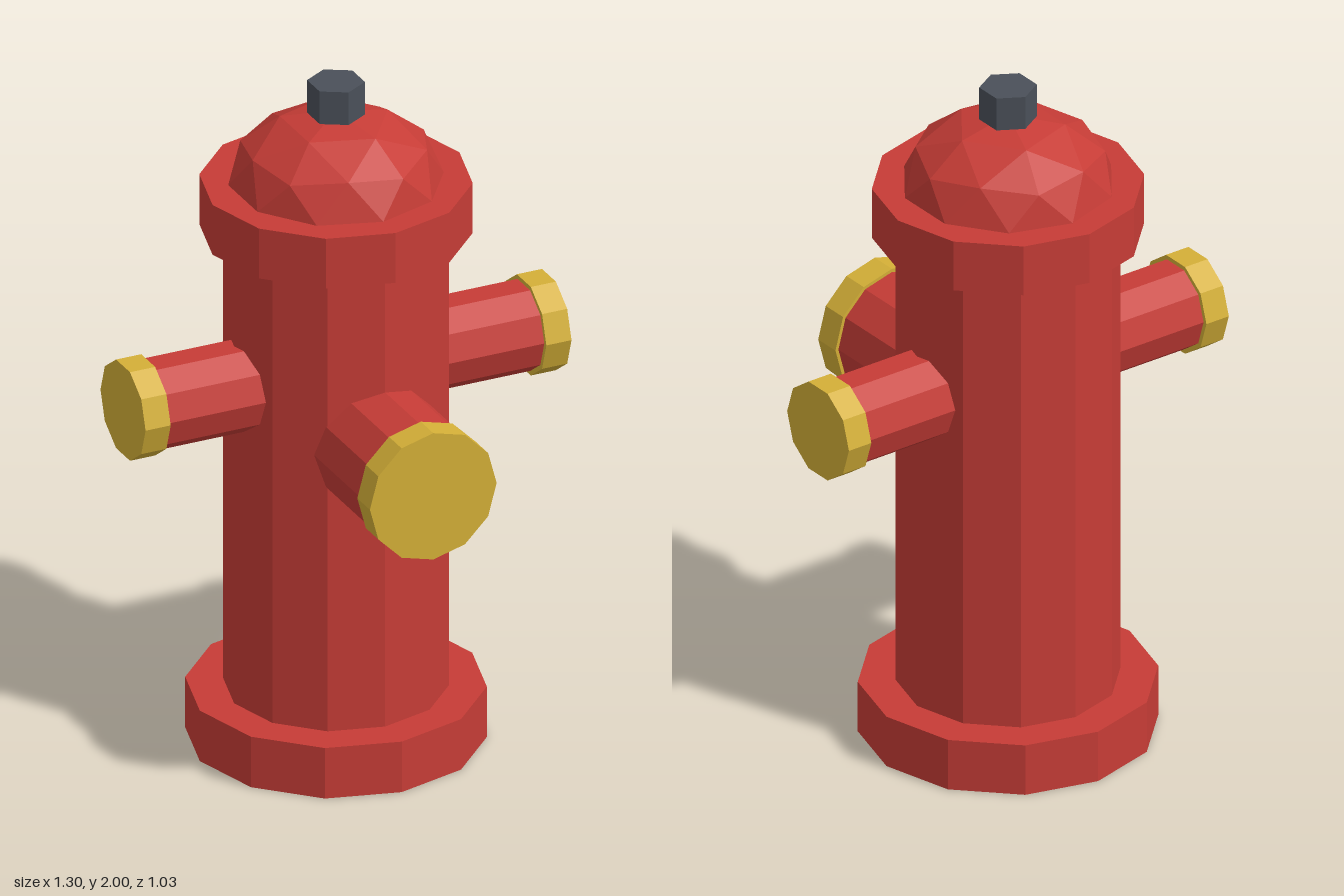
import * as THREE from 'three';

export function createModel() {
  const mat = (name, color) => {
    const m = new THREE.MeshStandardMaterial({ color, flatShading: true });
    m.name = name;
    return m;
  };
  const red = mat('red paint', 0xc63c36);
  const gold = mat('brass yellow', 0xd4af37);
  const grey = mat('dark steel', 0x4a5059);

  const hydrant = new THREE.Group();
  hydrant.name = 'fireHydrant';
  const axisZ = -0.1; // the barrel stands slightly behind the origin

  const add = (parent, name, geometry, material) => {
    const mesh = new THREE.Mesh(geometry, material);
    mesh.name = name;
    parent.add(mesh);
    return mesh;
  };

  // Cylinder between two heights along its own axis
  const drum = (r, from, to, sides) =>
    new THREE.CylinderGeometry(r, r, to - from, sides).translate(0, (from + to) / 2, 0);

  // Upright parts: barrel with base flange, collar, dome and nut
  const column = new THREE.Group();
  column.name = 'column';
  column.position.z = axisZ;
  hydrant.add(column);
  add(column, 'baseFlange', drum(0.417, 0, 0.155, 12), red);
  add(column, 'barrel', drum(0.312, 0.1, 1.6, 12), red);
  add(column, 'collar', drum(0.378, 1.547, 1.7, 12), red);
  add(column, 'topNut', drum(0.08, 1.9, 2, 6), grey);

  // Faceted dome: icosphere turned to stand on a vertex, then flattened
  const dome = new THREE.IcosahedronGeometry(0.3, 1)
    .rotateX(-Math.atan((1 + Math.sqrt(5)) / 2))
    .rotateY(Math.PI / 2)
    .scale(1, 0.7, 1)
    .translate(0, 1.7, 0);
  dome.computeVertexNormals();
  add(column, 'dome', dome, red);

  // Side outlets, one on each side
  for (const side of [1, -1]) {
    const outlet = new THREE.Group();
    outlet.name = side > 0 ? 'leftOutlet' : 'rightOutlet';
    outlet.position.set(0, 1.128, axisZ);
    outlet.rotation.z = -side * Math.PI / 2;
    add(outlet, 'outletPipe', drum(0.13, 0.2, 0.6, 10), red);
    add(outlet, 'outletCap', drum(0.143, 0.575, 0.652, 10), gold);
    hydrant.add(outlet);
  }

  // Large front outlet
  const front = new THREE.Group();
  front.name = 'frontOutlet';
  front.position.y = 0.997;
  front.rotation.x = Math.PI / 2;
  add(front, 'frontPipe', drum(0.184, 0.05, 0.46, 12), red);
  add(front, 'frontCap', drum(0.194, 0.437, 0.517, 12), gold);
  hydrant.add(front);

  return hydrant;
}
